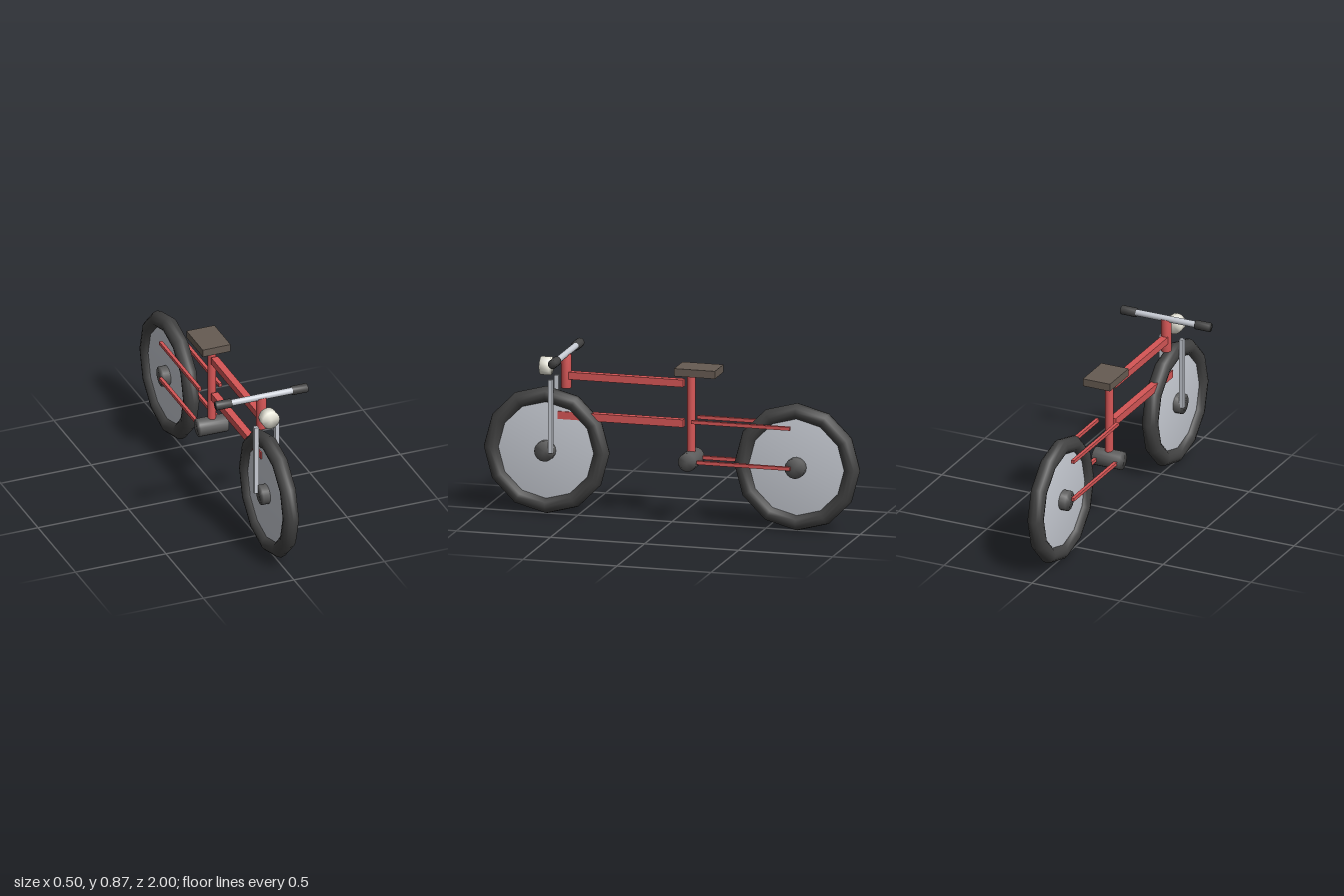
import * as THREE from 'three';
import { mergeVertices } from 'three/addons/utils/BufferGeometryUtils.js';

const paint = (color) => new THREE.MeshStandardMaterial({ color });
const RED = paint(0xd65656), STEEL = paint(0xc8ccd4), DARK = paint(0x5c5c5c);
const RUBBER = paint(0x424242), LEATHER = paint(0x665b52), LAMP = paint(0xeeecdf);

const AXLE_Y = 0.338, WHEEL_Z = 0.666, SEAT_Z = -0.102;

function part(parent, name, geometry, material, x, y, z) {
  const mesh = new THREE.Mesh(geometry, material);
  mesh.name = name;
  mesh.position.set(x, y, z);
  parent.add(mesh);
  return mesh;
}

// Cylinder along the given axis, with normals blended softly over the rims
function rod(axis, radius, length, sides = 16) {
  let g = new THREE.CylinderGeometry(radius, radius, length, sides);
  if (axis === 'x') g.rotateZ(Math.PI / 2);
  if (axis === 'z') g.rotateX(Math.PI / 2);
  g.deleteAttribute('normal');
  g.deleteAttribute('uv');
  g = mergeVertices(g, 1e-5);
  g.computeVertexNormals();
  return g;
}

// Box beam running along z from z0 to z1
function beam(parent, name, x, y, z0, z1, width, height) {
  const g = new THREE.BoxGeometry(width, height, Math.abs(z1 - z0));
  return part(parent, name, g, RED, x, y, (z0 + z1) / 2);
}

// Twelve-sided tyre around a solid disc and a hub
function wheel(name, z) {
  const group = new THREE.Group();
  group.name = name;
  group.position.set(0, AXLE_Y, z);
  const tyre = new THREE.TorusGeometry(0.292, 0.042, 12, 12).rotateY(Math.PI / 2);
  part(group, 'tyre', tyre, RUBBER, 0, 0, 0);
  part(group, 'wheelDisc', rod('x', 0.285, 0.026, 12), STEEL, 0, 0, 0);
  part(group, 'hub', rod('x', 0.053, 0.1), DARK, 0, 0, 0);
  return group;
}

export function createModel() {
  const bike = new THREE.Group();
  bike.name = 'bicycle';

  bike.add(wheel('frontWheel', WHEEL_Z), wheel('rearWheel', -WHEEL_Z));

  // Frame
  beam(bike, 'topTube', 0, 0.737, 0.56, -0.064, 0.038, 0.038);
  beam(bike, 'downTube', 0, 0.527, 0.602, -0.064, 0.038, 0.04);
  part(bike, 'headTube', rod('y', 0.027, 0.175), RED, 0, 0.758, 0.563);
  part(bike, 'seatTube', rod('y', 0.022, 0.455), RED, 0, 0.565, SEAT_Z);
  part(bike, 'bottomBracket', rod('x', 0.048, 0.155), DARK, 0, AXLE_Y, SEAT_Z);
  part(bike, 'seat', new THREE.BoxGeometry(0.154, 0.04, 0.217), LEATHER, 0, 0.808, -0.142);

  // Paired parts
  for (const [side, s] of [['left', 1], ['right', -1]]) {
    beam(bike, side + 'ChainStay', s * 0.057, AXLE_Y, -0.12, -0.645, 0.018, 0.018);
    beam(bike, side + 'SeatStay', s * 0.057, 0.549, -0.12, -0.645, 0.018, 0.018);
    const blade = new THREE.BoxGeometry(0.023, 0.383, 0.022);
    part(bike, side + 'ForkBlade', blade, STEEL, s * 0.057, 0.527, 0.629);
    part(bike, side + 'Grip', rod('x', 0.024, 0.082), RUBBER, s * 0.21, 0.849, 0.563);
  }

  // Steering and light
  part(bike, 'handlebar', rod('x', 0.017, 0.42), STEEL, 0, 0.849, 0.563);
  part(bike, 'headlamp', rod('z', 0.048, 0.054), LAMP, 0, 0.778, 0.668);

  return bike;
}
